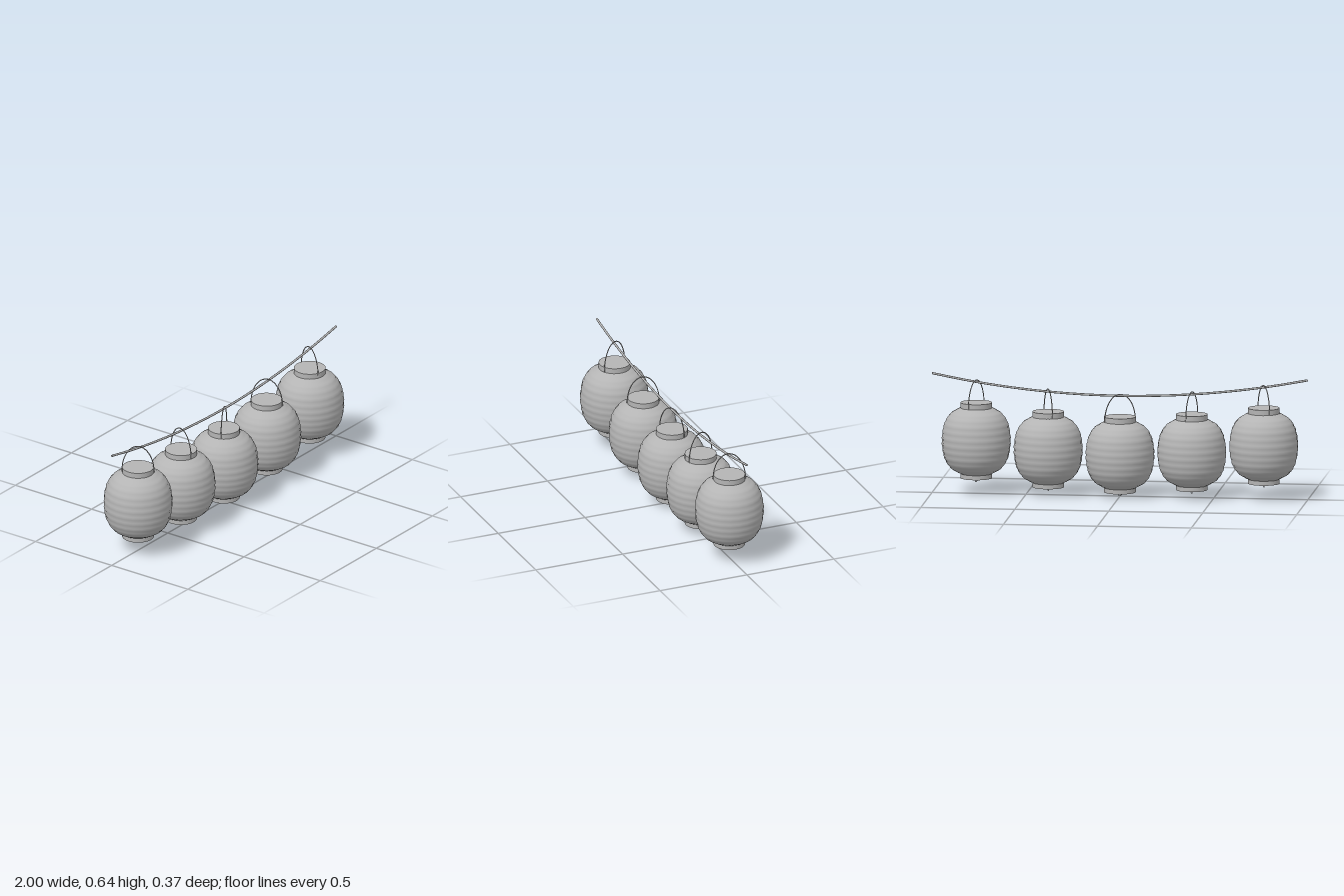
import * as THREE from 'three';

const paper = new THREE.MeshStandardMaterial({ color: 0xb4b4b4 });
paper.name = 'plain grey';

function mesh(name, geometry, y = 0) {
  const m = new THREE.Mesh(geometry, paper);
  m.name = name;
  m.position.y = y;
  return m;
}

// Barrel outline (radius, height from the middle), with shallow scalloped ribs
function bodyGeometry() {
  const half = [[0.183, 0], [0.181, 0.035], [0.173, 0.08], [0.159, 0.115], [0.132, 0.149], [0.083, 0.177]];
  const outline = [...half.slice(1).reverse().map(([r, y]) => [r, -y]), ...half];
  const curve = new THREE.SplineCurve(outline.map(([r, y]) => new THREE.Vector2(r, y)));
  const ribs = 12, steps = 4;
  const points = [];
  for (let i = 0; i <= ribs * steps; i++) {
    const p = curve.getPointAt(i / (ribs * steps));
    const dent = 0.0025 * (1 - Math.sin(Math.PI * (i % steps) / steps));
    points.push(new THREE.Vector2(p.x - dent, p.y));
  }
  return new THREE.LatheGeometry(points, 24);
}

// Wire handle: half an ellipse standing on the sides of the top cap
function handleGeometry() {
  const points = [];
  for (let i = 0; i <= 20; i++) {
    const a = Math.PI * i / 20;
    points.push(new THREE.Vector3(0.086 * Math.cos(a), 0.146 * Math.sin(a), 0));
  }
  return new THREE.TubeGeometry(new THREE.CatmullRomCurve3(points), 32, 0.0028, 6);
}

export function createModel() {
  const group = new THREE.Group();
  group.name = 'lanternString';

  // Sagging cord
  const cord = [];
  for (let i = 0; i <= 12; i++) {
    const x = -1 + i / 6;
    cord.push(new THREE.Vector3(x, 0.537 + 0.102 * x * x, 0));
  }
  const tube = new THREE.TubeGeometry(new THREE.CatmullRomCurve3(cord), 40, 0.006, 8);
  group.add(mesh('cord', tube));
  for (const side of [-1, 1]) {
    const end = mesh('cordEnd', new THREE.CircleGeometry(0.006, 8), 0.639);
    end.position.x = side;
    end.rotation.y = side * Math.PI / 2;
    group.add(end);
  }

  const body = bodyGeometry();
  const topCap = new THREE.CylinderGeometry(0.084, 0.084, 0.03, 32);
  const bottomCap = new THREE.CylinderGeometry(0.084, 0.084, 0.024, 32);
  const handle = handleGeometry();
  const ring = new THREE.TorusGeometry(0.0108, 0.0017, 6, 20);

  // Lanterns: x, drop below the outer pair, turn in degrees
  const lanterns = [
    [-0.765, 0, -62], [-0.382, -0.041, 75], [0, -0.061, 26], [0.382, -0.041, -68], [0.765, 0, 68],
  ];
  for (const [x, drop, turn] of lanterns) {
    const lantern = new THREE.Group();
    lantern.name = 'lantern';
    lantern.add(
      mesh('lanternBody', body, 0.283),
      mesh('topCap', topCap, 0.472),
      mesh('bottomCap', bottomCap, 0.095),
      mesh('handle', handle, 0.46),
      mesh('bottomRing', ring, 0.0735),
    );
    lantern.position.set(x, drop, 0);
    lantern.rotation.y = THREE.MathUtils.degToRad(turn);
    group.add(lantern);
  }
  return group;
}
